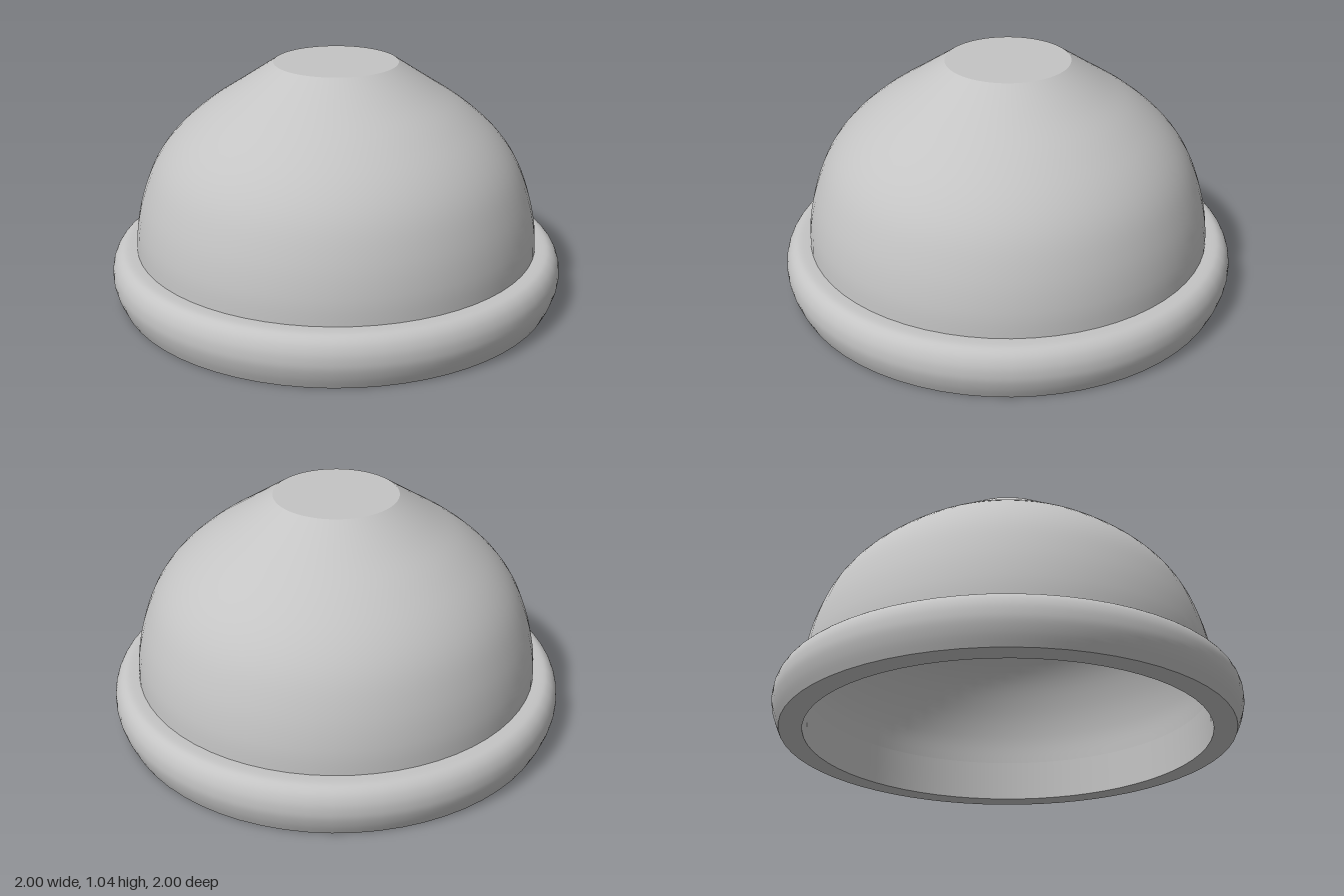
import * as THREE from 'three';

const SEGMENTS = 64;

export function createModel() {
  const model = new THREE.Group();
  model.name = 'dome';
  const grey = new THREE.MeshStandardMaterial({ color: 0xc4c4c4 });
  grey.name = 'grey';

  // Revolve a profile, running counter-clockwise in (radius, height) so faces point outwards
  function revolve(name, points, parent, smoothSteps = 0) {
    let profile = points.map(([r, y]) => new THREE.Vector2(r, y));
    if (smoothSteps) profile = new THREE.SplineCurve(profile).getPoints(smoothSteps);
    const mesh = new THREE.Mesh(new THREE.LatheGeometry(profile, SEGMENTS), grey);
    mesh.name = name;
    parent.add(mesh);
  }

  // Hollow dome with a flat top
  const shell = new THREE.Group();
  shell.name = 'shell';
  model.add(shell);
  const outer = [
    [0.89, 0.2], [0.882, 0.32], [0.85, 0.46], [0.79, 0.605],
    [0.7, 0.725], [0.57, 0.838], [0.42, 0.938], [0.27, 1.037],
  ];
  revolve('domeOuter', outer, shell, 32);
  revolve('domeTop', [[0.27, 1.037], [0, 1.037]], shell);

  // Inner wall, a thin offset of the outer one
  const inner = outer.map(([r, y]) => [r - 0.023, y - 0.015]).reverse();
  revolve('domeInner', inner, shell, 32);
  revolve('domeCeiling', [[0, 1.022], [0.247, 1.022]], shell);

  // Rounded rim around the opening
  const rim = new THREE.Group();
  rim.name = 'rim';
  model.add(rim);
  revolve('rimOuter', [
    [0.965, 0], [0.985, 0.045], [0.998, 0.09], [1, 0.125],
    [0.995, 0.16], [0.98, 0.193], [0.957, 0.215], [0.93, 0.223], [0.885, 0.223],
  ], rim, 28);
  revolve('rimInner', [[0.867, 0.19], [0.867, 0]], rim);
  revolve('rimUnderside', [[0.867, 0], [0.965, 0]], rim);

  return model;
}
